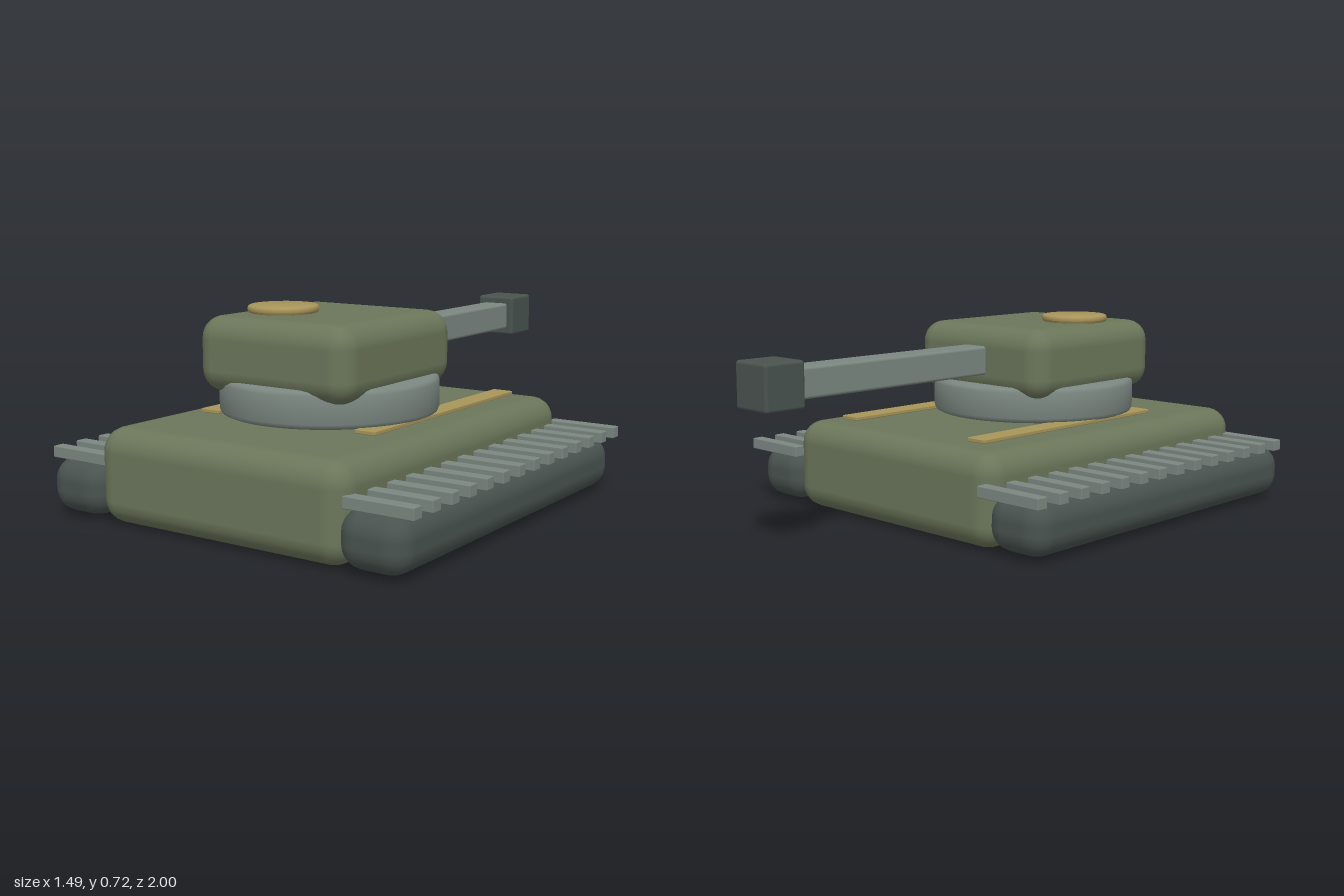
import * as THREE from 'three';
import { RoundedBoxGeometry } from 'three/addons/geometries/RoundedBoxGeometry.js';
import { toCreasedNormals } from 'three/addons/utils/BufferGeometryUtils.js';

const paint = (name, color) => {
  const material = new THREE.MeshStandardMaterial({ color });
  material.name = name;
  return material;
};

export function createModel() {
  const olive = paint('olive armour', 0x6b765a);
  const steel = paint('grey steel', 0x7b8781);
  const dark = paint('dark rubber', 0x49534f);
  const tan = paint('tan trim', 0xa8955a);

  const model = new THREE.Group();
  model.name = 'tank';

  const add = (name, geometry, material, parent = model) => {
    const mesh = new THREE.Mesh(geometry, material);
    mesh.name = name;
    parent.add(mesh);
    return mesh;
  };

  // Rounded box given by its min and max corners
  const block = (name, [x0, y0, z0], [x1, y1, z1], radius, material, parent, segments = 3) => {
    const geometry = new RoundedBoxGeometry(x1 - x0, y1 - y0, z1 - z0, segments, radius);
    geometry.translate((x0 + x1) / 2, (y0 + y1) / 2, (z0 + z1) / 2);
    return add(name, geometry, material, parent);
  };

  // Upright disc with bevelled rims
  const disc = (name, radius, y0, y1, bevel, x, z, material) => {
    const profile = [
      [0, y0], [radius - bevel, y0], [radius - bevel * 0.3, y0 + bevel * 0.3], [radius, y0 + bevel],
      [radius, y1 - bevel], [radius - bevel * 0.3, y1 - bevel * 0.3], [radius - bevel, y1], [0, y1],
    ].map(([r, y]) => new THREE.Vector2(r, y));
    const geometry = toCreasedNormals(new THREE.LatheGeometry(profile, 48), 0.85);
    add(name, geometry, material).position.set(x, 0, z);
  };

  // Hull
  block('hull', [-0.51, 0, -0.435], [0.51, 0.33, 0.985], 0.082, olive);

  // Tracks, tread bars and deck strips on both sides
  for (const side of [1, -1]) {
    const label = side > 0 ? 'left' : 'right';
    const running = new THREE.Group();
    running.name = label + 'TrackAssembly';
    model.add(running);

    const span = (a, b) => (side > 0 ? [a, b] : [-b, -a]);
    const [t0, t1] = span(0.48, 0.73);
    block(label + 'Track', [t0, 0.012, -0.44], [t1, 0.205, 1], 0.08, dark, running);

    const [b0, b1] = span(0.475, 0.743);
    for (let i = 0; i < 14; i++) {
      const z = -0.437 + i * 0.1053;
      block(label + 'Tread' + (i + 1), [b0, 0.193, z - 0.0225], [b1, 0.234, z + 0.0225], 0.004, steel, running, 1);
    }

    const [s0, s1] = span(0.29, 0.37);
    block(label + 'DeckStrip', [s0, 0.337, -0.315], [s1, 0.351, 0.605], 0.003, tan, model, 1);
  }

  // Turret ring, turret and hatch
  disc('turretRing', 0.385, 0.346, 0.475, 0.018, 0, 0.345, steel);
  block('turret', [-0.318, 0.428, 0.02], [0.318, 0.69, 0.695], 0.078, olive);
  disc('hatch', 0.124, 0.688, 0.716, 0.009, -0.133, 0.432, tan);

  // Gun
  block('gunBarrel', [-0.054, 0.51, -0.86], [0.054, 0.617, 0.1], 0.011, steel);
  block('muzzle', [-0.081, 0.484, -1], [0.081, 0.645, -0.84], 0.012, dark);

  return model;
}
